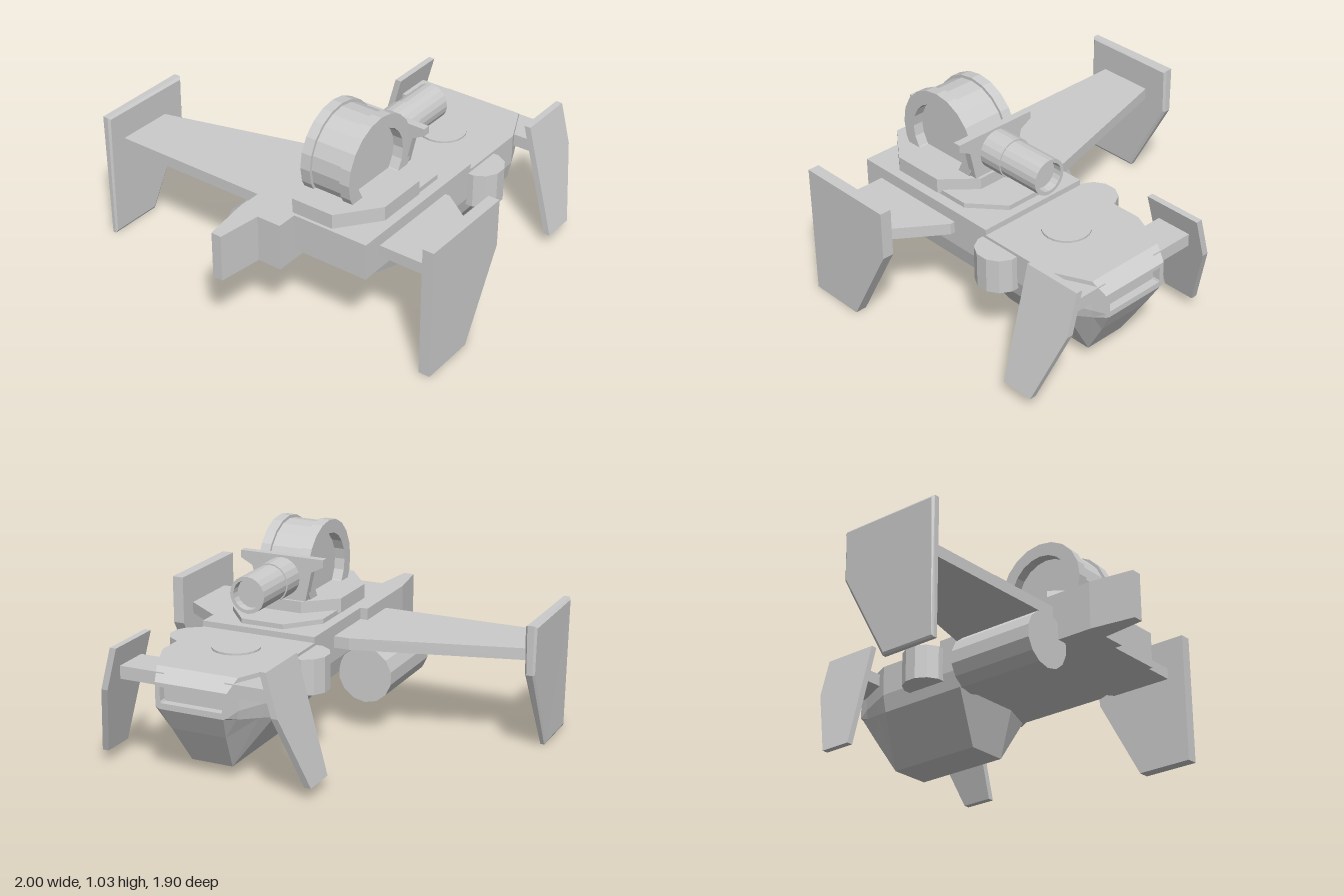
import * as THREE from 'three';

const MAT = new THREE.MeshStandardMaterial({ color: 0xcccccc, flatShading: true });
const CX = 0.33; // centre line of the hull, which sits off to one side

const shapeOf = (pts) => new THREE.Shape(pts.map(([a, b]) => new THREE.Vector2(a, b)));

// Slab with an [x, z] outline between two heights
function slabY(pts, y0, y1) {
  const g = new THREE.ExtrudeGeometry(shapeOf(pts.map(([x, z]) => [x, -z])), { depth: y1 - y0, bevelEnabled: false });
  return g.rotateX(-Math.PI / 2).translate(0, y0, 0);
}

// Slab with a [z, y] outline, centred on x = 0
function slabX(pts, width, bevel = 0) {
  const depth = width - 2 * bevel;
  const g = new THREE.ExtrudeGeometry(shapeOf(pts), {
    depth, bevelEnabled: bevel > 0, bevelThickness: bevel, bevelSize: bevel, bevelOffset: -bevel, bevelSegments: 1,
  });
  return g.translate(0, 0, -depth / 2).rotateY(-Math.PI / 2);
}

// Move every vertex by a rule
function bend(g, rule) {
  const p = g.attributes.position;
  const v = new THREE.Vector3();
  for (let i = 0; i < p.count; i++) {
    rule(v.fromBufferAttribute(p, i));
    p.setXYZ(i, v.x, v.y, v.z);
  }
  g.computeVertexNormals();
  return g;
}

// Symmetric loft: each section is [z, [halfWidth, y] from top to bottom], front to back
function loft(sections) {
  const rings = sections.map(([z, ...half]) => [
    ...half.map(([w, y]) => [CX - w, y, z]),
    ...half.map(([w, y]) => [CX + w, y, z]).reverse(),
  ]);
  const out = [];
  const tri = (...pts) => pts.forEach((p) => out.push(...p));
  const n = rings[0].length;
  for (let i = 0; i + 1 < rings.length; i++) {
    for (let j = 0; j < n; j++) {
      const k = (j + 1) % n;
      const [f, b] = [rings[i], rings[i + 1]];
      tri(f[j], b[j], b[k]);
      tri(f[j], b[k], f[k]);
    }
  }
  const first = rings[0], last = rings[rings.length - 1];
  for (let j = 1; j + 1 < n; j++) {
    tri(first[0], first[j], first[j + 1]);
    tri(last[0], last[j + 1], last[j]);
  }
  const g = new THREE.BufferGeometry();
  g.setAttribute('position', new THREE.Float32BufferAttribute(out, 3));
  g.computeVertexNormals();
  return g;
}

const lathe = (pts, sides) => new THREE.LatheGeometry(pts.map(([r, y]) => new THREE.Vector2(r, y)), sides);

// Octagonal plate outline, mirrored about the hull centre line
function octagon(w, z0, z1, cut0, cut1) {
  const c = 0.115;
  return [[CX - c, z0], [CX + c, z0], [CX + w, z0 + cut0], [CX + w, z1 - cut1],
    [CX + c, z1], [CX - c, z1], [CX - w, z1 - cut1], [CX - w, z0 + cut0]];
}

export function createModel() {
  const model = new THREE.Group();
  const add = (name, geometry, x = 0, y = 0, z = 0) => {
    const m = new THREE.Mesh(geometry, MAT);
    m.name = name;
    m.position.set(x, y, z);
    model.add(m);
    return m;
  };

  // Hull with deep rear keel and a slot recessed into the tail
  const upper = [[0.31, 0.4], [0.29, 0.31]];
  add('hull', loft([
    [0.61, [0.31, 0.59], [0.31, 0.4], [0.29, 0.4], [0.11, 0.4]],
    [0.3, [0.31, 0.59], ...upper, [0.11, 0.31]],
    [-0.14, [0.31, 0.59], ...upper, [0.11, 0.31]],
    [-0.21, [0.31, 0.59], ...upper, [0.11, 0.06]],
    [-0.26, [0.31, 0.59], ...upper, [0.11, 0.06]],
    [-0.26, [0.31, 0.56], ...upper, [0.11, 0.06]],
    [-0.65, [0.31, 0.56], ...upper, [0.11, 0.06]],
    [-0.74, [0.27, 0.56], [0.27, 0.4], [0.255, 0.33], [0.11, 0.06]],
    [-0.86, [0.215, 0.56], [0.215, 0.4], [0.205, 0.355], [0.145, 0.255]],
    [-0.925, [0.19, 0.5], [0.19, 0.4], [0.19, 0.38], [0.17, 0.37]],
    [-0.925, [0.165, 0.48], [0.165, 0.42], [0.165, 0.41], [0.16, 0.4]],
    [-0.885, [0.165, 0.48], [0.165, 0.42], [0.165, 0.41], [0.16, 0.4]],
  ]));
  add('rearHatch', new THREE.CylinderGeometry(0.12, 0.12, 0.02, 20), CX, 0.56, -0.48);

  // Forked pod beside the nose
  add('nosePod', slabY([[-0.02, 0.27], [0.23, 0.27], [0.23, 0.72], [0.1, 0.72],
    [0.07, 0.95], [0.015, 0.95], [-0.02, 0.72]], 0.345, 0.59));

  // Main wings, the right one longer
  add('leftWing', slabY([[0.5, -0.04], [0.665, -0.04], [0.95, 0.165], [0.95, 0.5], [0.5, 0.5]], 0.47, 0.53));
  add('rightWing', slabY([[0.1, -0.04], [-0.06, -0.04], [-0.95, 0.2], [-0.95, 0.5], [0.1, 0.5]], 0.47, 0.53));
  add('engine', new THREE.CylinderGeometry(0.145, 0.145, 0.475, 14).rotateX(Math.PI / 2), -0.105, 0.315, 0.2925);

  // Wing-tip plates; the right one is bevelled and thins downwards and forwards
  const tip = [[0.6, 0.69], [0.06, 0.69], [0.06, 0.44], [0.3, 0], [0.6, 0]];
  add('leftTipPlate', slabX(tip, 0.06), 0.97);
  add('rightTipPlate', bend(slabX(tip, 0.06, 0.012), (v) => {
    v.x *= (0.58 + 0.6 * v.y) * (1 - 0.35 * (v.z - 0.06));
  }), -0.967);

  // Mirrored tail struts, splayed fins and side drums
  const fin = [[-0.645, 0.645], [-0.955, 0.645], [-0.955, 0.43], [-0.82, 0.06], [-0.645, 0.06]];
  for (const [side, s] of [['left', 1], ['right', -1]]) {
    add(side + 'TailStrut', new THREE.BoxGeometry(0.24, 0.065, 0.19), CX + s * 0.28, 0.505, -0.795);
    add(side + 'TailFin', bend(slabX(fin, 0.034), (v) => {
      v.x += CX + s * (0.392 + (0.645 - v.y) * 0.265);
    }));
    add(side + 'SideDrum', new THREE.CylinderGeometry(0.12, 0.12, 0.18, 12).rotateY(Math.PI / 12), CX + s * 0.31, 0.455, -0.355);
  }

  // Turret base plates
  add('lowerTurretPlate', slabY(octagon(0.255, -0.215, 0.53, 0.165, 0.14), 0.58, 0.615));
  add('upperTurretPlate', slabY(octagon(0.27, -0.015, 0.605, 0.14, 0.2), 0.6, 0.675));

  // Turret drum with raised rims and recessed side discs
  add('turretDrum', lathe([[0, -0.085], [0.18, -0.085], [0.18, -0.14], [0.25, -0.14], [0.25, -0.085],
    [0.235, -0.085], [0.235, 0.085], [0.25, 0.085], [0.25, 0.14], [0.18, 0.14], [0.18, 0.085], [0, 0.085]], 20)
    .rotateZ(-Math.PI / 2), CX, 0.785, 0.26);

  // Bracket plate behind the drum
  const halfBracket = [[0.23, 0.9], [0.23, 0.862], [0.165, 0.828], [0.13, 0.67]];
  add('turretBracket', new THREE.ExtrudeGeometry(shapeOf([
    ...halfBracket.map(([x, y]) => [-x, y]), ...[...halfBracket].reverse(),
  ]), { depth: 0.04, bevelEnabled: false }), CX);

  // Hollow barrel pointing backwards
  add('barrel', lathe([[0, 0], [0.1, 0], [0.1, 0.13], [0.093, 0.13], [0.093, 0.365],
    [0.075, 0.365], [0.075, 0.32], [0, 0.32]], 20).rotateX(-Math.PI / 2), CX, 0.79, 0);

  return model;
}
